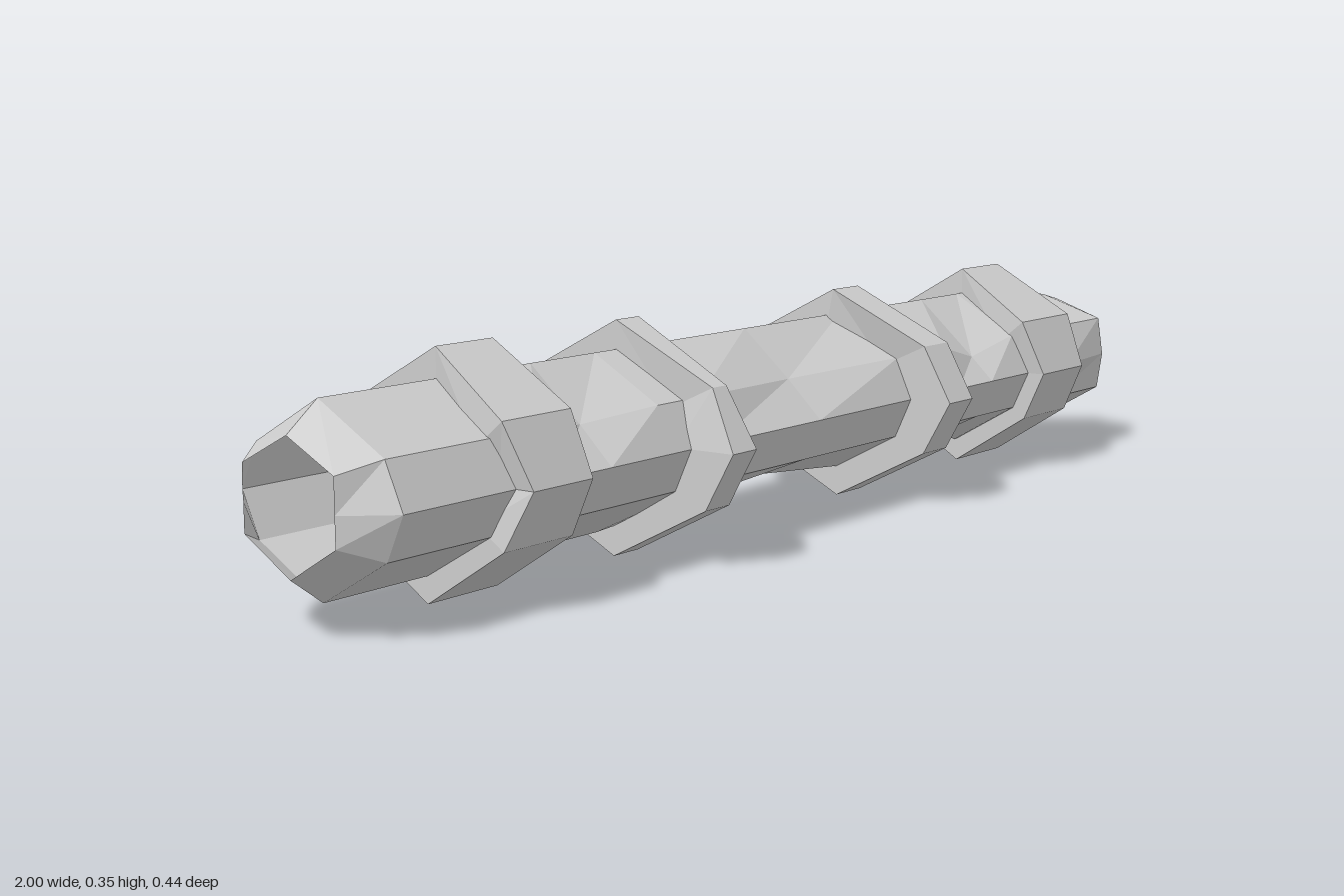
import * as THREE from 'three';

const material = new THREE.MeshStandardMaterial({ color: 0xcccccc, flatShading: true, side: THREE.DoubleSide });
const AXIS = 0.18;

// Eight-sided cross-section: top, front-upper, front, front-lower, bottom, then the back.
// Each point is [y, z]; yTop, yBottom, shoulder = [yUpper, yLower, z], side = z.
function section(yTop, yBottom, [yUp, yLow, zs], side) {
  return [
    [yTop, 0], [yUp, zs], [AXIS, side], [yLow, zs],
    [yBottom, 0], [yLow, -zs], [AXIS, -side], [yUp, -zs],
  ];
}

// Joins rings of [x, y, z] points, running along x, into one skin.
function loft(name, rings) {
  const n = rings[0].length;
  const index = [];
  for (let r = 0; r < rings.length - 1; r++) {
    for (let i = 0; i < n; i++) {
      const j = (i + 1) % n;
      const a = r * n + i, b = r * n + j, c = a + n, d = b + n;
      index.push(a, b, c, b, d, c);
    }
  }
  const geometry = new THREE.BufferGeometry();
  geometry.setAttribute('position', new THREE.Float32BufferAttribute(rings.flat(2), 3));
  geometry.setIndex(index);
  geometry.computeVertexNormals();
  const mesh = new THREE.Mesh(geometry, material);
  mesh.name = name;
  return mesh;
}

const BODY = section(0.314, 0.047, [0.247, 0.115, 0.117], 0.147);
const MOUTH = section(0.273, 0.087, [0.23, 0.137, 0.083], 0.083);
const WIDE = section(0.358, 0.008, [0.272, 0.097, 0.14], 0.178);
const FLANGE = section(0.358, 0.004, [0.27, 0.092, 0.172], 0.222);

// Tube ring at x, with dents replacing single points of the profile.
function tubeRing(x, profile = BODY, dents = {}) {
  return profile.map((p, i) => [x, ...(dents[i] ?? p)]);
}

// Raised band: each side rises from the tube, with its own x at each of the eight points.
function band(name, profile, x0, x1, leftShift = {}, rightShift = {}) {
  const edge = (points, x, shift) => points.map((p, i) => [x + (shift[i] ?? 0), ...p]);
  const foot = BODY.map(([y, z]) => [AXIS + (y - AXIS) * 0.8, z * 0.8]);
  return loft(name, [
    edge(foot, x0, leftShift), edge(profile, x0, leftShift),
    edge(profile, x1, rightShift), edge(foot, x1, rightShift),
  ]);
}

export function createModel() {
  const model = new THREE.Group();
  model.name = 'bandedTube';

  // Hollow tube with tapered open ends and battered sides
  model.add(loft('tube', [
    tubeRing(-1, MOUTH),
    tubeRing(-0.945),
    tubeRing(-0.65),
    tubeRing(-0.54, BODY, { 1: [0.235, 0.09], 7: [0.235, -0.1] }),
    tubeRing(-0.4),
    tubeRing(-0.3, BODY, { 4: [0.053, 0] }),
    tubeRing(-0.03, BODY, { 1: [0.24, 0.085], 4: [0.076, 0], 7: [0.24, -0.1] }),
    tubeRing(0.24, BODY, { 4: [0.053, 0] }),
    tubeRing(0.39),
    tubeRing(0.5, BODY, { 1: [0.22, 0.105], 4: [0.086, 0], 6: [AXIS, -0.117], 7: [0.24, -0.105] }),
    tubeRing(0.62),
    tubeRing(0.78),
    tubeRing(0.95, BODY, { 0: [0.285, 0], 2: [AXIS, 0.127] }),
    tubeRing(1, MOUTH),
  ]));

  // Wide collars near the ends
  model.add(band('rightCollar', WIDE, -0.755, -0.617, { 0: 0.025, 2: 0.018, 6: 0.01 }));
  model.add(band('leftCollar', WIDE, 0.628, 0.778,
    { 0: 0.012, 1: -0.012, 7: -0.01 }, { 0: -0.012, 1: 0.006, 2: -0.005 }));

  // Narrow flanges around the middle, the left one bent at its top
  model.add(band('rightFlange', FLANGE, -0.36, -0.303,
    { 0: 0.01, 1: 0.018, 7: 0.014 }, { 0: 0.006, 1: -0.006 }));
  const bent = FLANGE.map((p, i) => (i === 0 ? [0.358, 0.014] : p));
  model.add(band('leftFlange', bent, 0.234, 0.306, { 0: -0.034 }, { 0: -0.032 }));

  return model;
}
